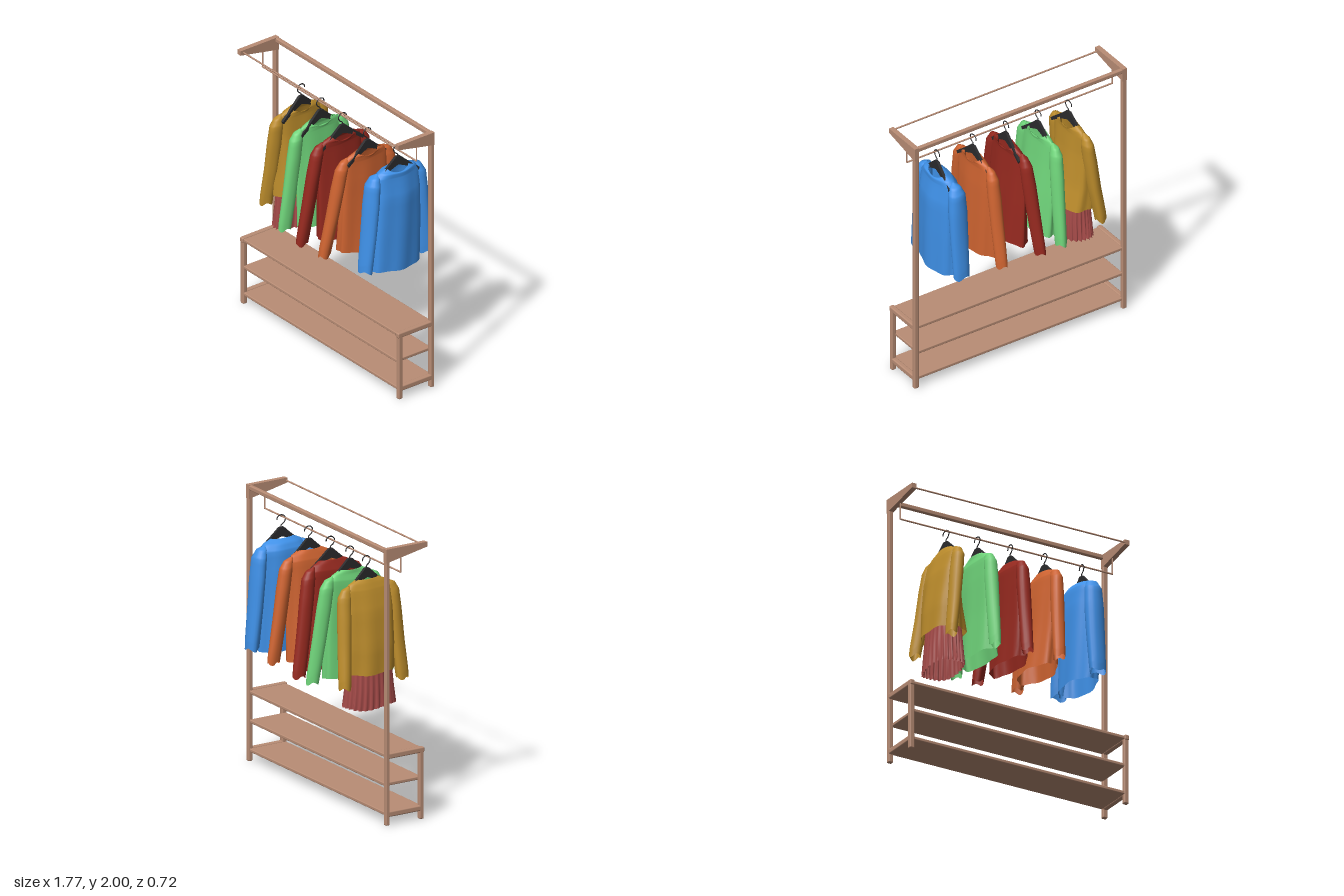
import * as THREE from 'three';
import { RoundedBoxGeometry } from 'three/addons/geometries/RoundedBoxGeometry.js';

const mat = (color, side = THREE.FrontSide) => new THREE.MeshStandardMaterial({ color, side });
const wood = mat(0xb98d75);
const dark = mat(0x2b2b2d);

function add(parent, name, geometry, material) {
  const mesh = new THREE.Mesh(geometry, material);
  mesh.name = name;
  parent.add(mesh);
  return mesh;
}

// Softly rounded box given by its min and max on each axis
function beam(parent, name, [x0, x1], [y0, y1], [z0, z1]) {
  const size = [x1 - x0, y1 - y0, z1 - z0];
  const mesh = add(parent, name, new RoundedBoxGeometry(...size, 2, Math.min(...size) * 0.25), wood);
  mesh.position.set((x0 + x1) / 2, (y0 + y1) / 2, (z0 + z1) / 2);
}

function rod(parent, name, a, b, radius) {
  const path = new THREE.LineCurve3(new THREE.Vector3(...a), new THREE.Vector3(...b));
  add(parent, name, new THREE.TubeGeometry(path, 1, radius, 8), wood);
}

// Cloth skin through horizontal rings, bottom to top: [y, centre x, half x, centre z, half z, front dip]
function cloth(rows, { sides = 40, steps = 4, folds = 7, depth = 0.05, phase = 0 } = {}) {
  const pos = [], index = [];
  const count = (rows.length - 1) * steps;
  for (let i = 0; i <= count; i++) {
    const k = Math.min(Math.floor(i / steps), rows.length - 2);
    const f = i / steps - k;
    const [y, cx, hx, cz, hz, dip] = rows[k].map((v, n) => THREE.MathUtils.lerp(v, rows[k + 1][n], f));
    const loose = depth * (1 - i / count);
    for (let j = 0; j < sides; j++) {
      const a = (j / sides) * Math.PI * 2;
      const r = 1 + loose * Math.sin(folds * a + phase + y * 2);
      pos.push(
        cx + hx * r * Math.cos(a),
        y - dip * Math.max(0, Math.cos(a)) + loose * 0.12 * Math.sin(3 * a + phase),
        cz + hz * r * Math.sin(a)
      );
      if (i < count) {
        const p = i * sides + j, q = i * sides + (j + 1) % sides;
        index.push(p, p + sides, q, q, p + sides, q + sides);
      }
    }
  }
  const geometry = new THREE.BufferGeometry();
  geometry.setAttribute('position', new THREE.Float32BufferAttribute(pos, 3));
  geometry.setIndex(index);
  geometry.computeVertexNormals();
  return geometry;
}

function hanger(x, z, yaw) {
  const group = new THREE.Group();
  group.name = 'hanger';
  // Sloping shoulder bar
  const bar = new THREE.Shape();
  bar.moveTo(-0.18, 1.6);
  bar.quadraticCurveTo(-0.08, 1.68, -0.018, 1.74);
  bar.lineTo(0.018, 1.74);
  bar.quadraticCurveTo(0.08, 1.68, 0.18, 1.6);
  bar.lineTo(0.17, 1.58);
  bar.quadraticCurveTo(0.08, 1.65, 0, 1.675);
  bar.quadraticCurveTo(-0.08, 1.65, -0.17, 1.58);
  const geometry = new THREE.ExtrudeGeometry(bar, { depth: 0.02, bevelEnabled: false, curveSegments: 8 });
  geometry.translate(0, 0, -0.01).rotateY(Math.PI / 2);
  add(group, 'hangerBar', geometry, dark);
  // Wire hook over the rail
  const points = [[1.73, 0], [1.755, 0], [1.772, 0.022], [1.8, 0.033], [1.822, 0.018], [1.828, -0.005], [1.815, -0.03], [1.795, -0.035]];
  const curve = new THREE.CatmullRomCurve3(points.map(([y, pz]) => new THREE.Vector3(0, y, pz)));
  add(group, 'hangerHook', new THREE.TubeGeometry(curve, 28, 0.004, 6), dark);
  group.position.set(x, 0, z);
  group.rotation.y = yaw;
  return group;
}

// edges: x limits of the body at hem, waist, chest and shoulder; cuffs: [x, z] on each side
function sweater({ name, color, hook, cz, hem, edges, cuffs, cuffY, sleeve, phase, yaw }) {
  const group = new THREE.Group();
  group.name = name;
  const material = mat(color, THREE.DoubleSide);
  const heights = [hem, 1.2, 1.45, 1.6];
  const widths = [0.205, 0.205, 0.2, 0.195];
  const rows = edges.map(([a, b], i) => [heights[i], (a + b) / 2, (b - a) / 2, cz, widths[i], 0]);
  const [, shoulderX, shoulderHalf] = rows[3];
  rows.push([1.645, (shoulderX + hook) / 2, shoulderHalf * 0.85, cz, 0.15, 0.01]);
  rows.push([1.672, hook, 0.04, cz, 0.09, 0.035]);
  rows.push([1.655, hook, 0.036, cz, 0.085, 0.035]);
  add(group, 'body', cloth(rows, { phase }), material);

  cuffs.forEach(([x, z], i) => {
    const s = Math.sign(z);
    const sx = shoulderX, sz = cz + s * 0.195;
    const at = (t) => [THREE.MathUtils.lerp(x, sx, t), THREE.MathUtils.lerp(z, sz, t)];
    const row = (y, t, rx, rz) => { const [px, pz] = at(t); return [y, px, rx, pz, rz, 0]; };
    const sleeveRows = [
      row(cuffY, 0, sleeve * 0.85, 0.045),
      row(cuffY + 0.06, 0.08, sleeve * 0.9, 0.048),
      row(1.2, 0.45, sleeve, 0.05),
      row(1.42, 0.75, sleeve * 1.05, 0.052),
      row(1.56, 0.95, sleeve * 0.95, 0.05),
      [1.615, sx, sleeve * 0.6, sz - s * 0.015, 0.036, 0],
      [1.64, sx, 0.004, sz - s * 0.04, 0.008, 0]
    ];
    const options = { sides: 20, folds: 3, depth: 0.1, phase: phase + i * 2 };
    add(group, i ? 'rightSleeve' : 'leftSleeve', cloth(sleeveRows, options), material);
  });
  group.add(hanger(hook, cz, yaw));
  return group;
}

function rack() {
  const group = new THREE.Group();
  group.name = 'rack';
  for (const s of [-1, 1]) {
    const side = s < 0 ? [-0.885, -0.848] : [0.848, 0.885];
    const tip = s < 0 ? 0.2 : 0.178;
    beam(group, 'backPost', side, [0, 1.99], [-0.137, -0.105]);
    beam(group, 'frontPost', side, [0, 0.5], [0.14, 0.175]);
    beam(group, 'upperSideRail', side, [0.48, 0.52], [-0.125, 0.18]);
    beam(group, 'lowerSideRail', side, [0.06, 0.1], [-0.125, 0.17]);
    // Tapered arm at the top
    const arm = new THREE.Shape([[-0.137, 1.9], [tip, 1.965], [tip, 2], [-0.137, 2]].map(([z, y]) => new THREE.Vector2(-z, y)));
    const geometry = new THREE.ExtrudeGeometry(arm, { depth: 0.037, bevelEnabled: false });
    geometry.rotateY(Math.PI / 2).translate(side[0], 0, 0);
    add(group, 'topArm', geometry, wood);
    rod(group, 'railDrop', [s * 0.857, 1.806, 0], [s * 0.857, 1.96, 0], 0.005);
  }
  for (const y of [0.5, 0.29, 0.08]) beam(group, 'shelf', [-0.855, 0.855], [y - 0.012, y + 0.012], [-0.13, 0.172]);
  beam(group, 'topBeam', [-0.855, 0.855], [1.965, 1.998], [-0.137, -0.107]);
  rod(group, 'frontTopRod', [-0.86, 1.98, 0.173], [0.86, 1.98, 0.173], 0.006);
  rod(group, 'hangingRail', [-0.86, 1.808, 0], [0.86, 1.808, 0], 0.006);
  return group;
}

export function createModel() {
  const model = new THREE.Group();
  model.name = 'clothesRack';
  model.add(rack());

  const garments = [
    { name: 'yellowSweater', color: 0xbd8d2c, hook: -0.47, cz: -0.03, hem: 1.015, cuffY: 0.935, sleeve: 0.045, phase: 0.4, yaw: 0.1,
      edges: [[-0.625, -0.36], [-0.615, -0.4], [-0.58, -0.43], [-0.54, -0.44]], cuffs: [[-0.565, 0.2], [-0.575, -0.27]] },
    { name: 'greenSweater', color: 0x6fd47a, hook: -0.23, cz: -0.01, hem: 0.9, cuffY: 0.89, sleeve: 0.045, phase: 1.7, yaw: 0.05,
      edges: [[-0.3, -0.13], [-0.29, -0.16], [-0.29, -0.19], [-0.285, -0.205]], cuffs: [[-0.26, 0.28], [-0.22, -0.31]] },
    { name: 'redSweater', color: 0x96291f, hook: 0.03, cz: 0, hem: 0.9, cuffY: 0.885, sleeve: 0.045, phase: 3.1, yaw: -0.04,
      edges: [[-0.065, 0.1], [-0.05, 0.08], [-0.045, 0.06], [-0.04, 0.05]], cuffs: [[-0.025, 0.315], [-0.045, -0.31]] },
    { name: 'orangeSweater', color: 0xcf6431, hook: 0.305, cz: 0, hem: 0.9, cuffY: 0.9, sleeve: 0.045, phase: 4.2, yaw: 0.04,
      edges: [[0.15, 0.35], [0.19, 0.345], [0.215, 0.34], [0.235, 0.33]], cuffs: [[0.23, 0.315], [0.28, -0.31]] },
    { name: 'blueSweater', color: 0x3f91e8, hook: 0.62, cz: -0.02, hem: 0.885, cuffY: 0.91, sleeve: 0.068, phase: 5.3, yaw: -0.06,
      edges: [[0.49, 0.69], [0.495, 0.695], [0.5, 0.695], [0.515, 0.67]], cuffs: [[0.59, 0.235], [0.595, -0.275]] }
  ];
  for (const garment of garments) model.add(sweater(garment));

  // Pleated skirt under the yellow sweater
  const skirtRows = [[0.76, -0.495, 0.115, -0.025, 0.195, 0], [0.9, -0.495, 0.11, -0.025, 0.18, 0], [1.06, -0.495, 0.1, -0.025, 0.17, 0], [1.2, -0.5, 0.07, -0.025, 0.14, 0]];
  add(model, 'pleatedSkirt', cloth(skirtRows, { sides: 104, folds: 26, depth: 0.07 }), mat(0xa84c4a, THREE.DoubleSide));
  return model;
}
